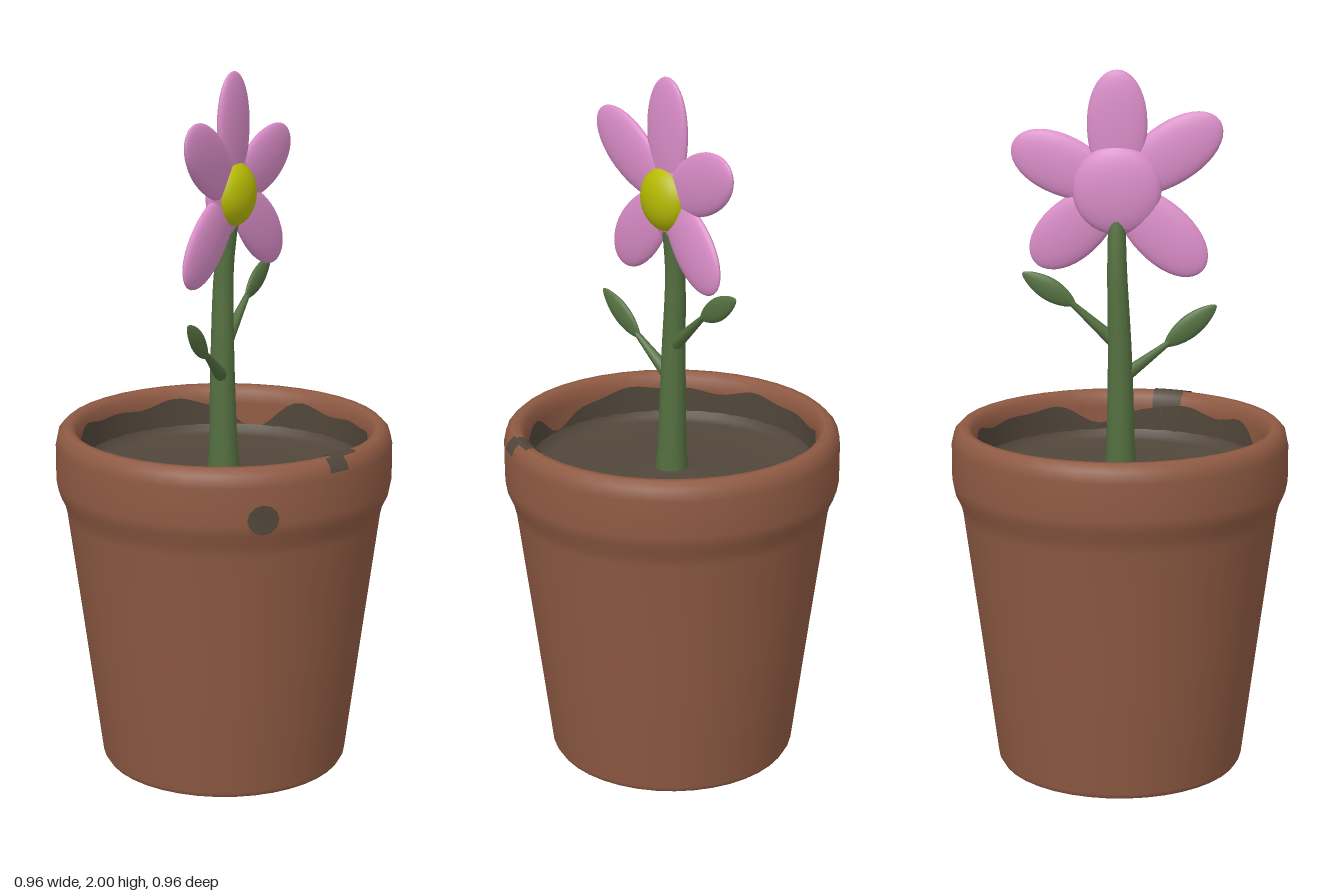
import * as THREE from 'three';

const mat = (name, color, side = THREE.FrontSide) => {
  const m = new THREE.MeshStandardMaterial({ color, side });
  m.name = name;
  return m;
};

export function createModel() {
  const clay = mat('terracotta', 0x8f5a43, THREE.DoubleSide);
  const earth = mat('soil brown', 0x51463a, THREE.DoubleSide);
  const green = mat('stem green', 0x547040);
  const pink = mat('petal pink', 0xda8dc8);
  const yellow = mat('centre yellow', 0xb6ba02);
  const grey = mat('base grey', 0xa8a8a8);

  const model = new THREE.Group();
  const add = (parent, name, geometry, material) => {
    const mesh = new THREE.Mesh(geometry, material);
    mesh.name = name;
    parent.add(mesh);
    return mesh;
  };
  const lathe = (pts, segs, start = 0, length = Math.PI * 2) =>
    new THREE.LatheGeometry(pts.map(([r, y]) => new THREE.Vector2(r, y)), segs, start, length);

  // Pot: tapered wall, rounded collar and inner wall
  add(model, 'pot', lathe([
    [0.347, 0], [0.356, 0.015], [0.405, 0.4], [0.45, 0.745], [0.459, 0.782], [0.474, 0.813],
    [0.48, 0.845], [0.48, 0.95], [0.473, 0.982], [0.455, 1], [0.437, 1],
    [0.421, 0.985], [0.415, 0.95], [0.415, 0.83]], 40), clay);
  const base = add(model, 'potBase', new THREE.CircleGeometry(0.347, 40), grey);
  base.rotation.x = Math.PI / 2;

  // Soil surface, slightly raised at the stem and at the wall
  add(model, 'soil', lathe([
    [0.411, 0.885], [0.402, 0.867], [0.38, 0.857], [0.25, 0.856], [0.12, 0.856], [0.06, 0.863], [0, 0.872]], 40), earth);

  // Dirt clinging to the inner wall; its upper edge dips in three places
  const dips = [[2.36, 0.2, 0.075], [-0.8, 0.2, 0.075], [0.68, 0.25, 0.04]];
  const dirt = new THREE.CylinderGeometry(0.41, 0.41, 1, 96, 1, true);
  const dp = dirt.attributes.position;
  for (let i = 0; i < dp.count; i++) {
    const a = Math.atan2(dp.getX(i), dp.getZ(i));
    let edge = 0.956 + 0.008 * Math.sin(7 * a) + 0.006 * Math.sin(13 * a + 1);
    dips.forEach(([at, width, depth]) => { edge -= depth * Math.exp(-(((a - at) / width) ** 2)); });
    dp.setY(i, dp.getY(i) > 0 ? edge : 0.86);
  }
  add(model, 'wallDirt', dirt, earth);

  // Dirt spilled over the front of the rim
  add(model, 'rimDirt', lathe([
    [0.461, 0.9985], [0.455, 1.003], [0.436, 1.003], [0.417, 0.987], [0.41, 0.955], [0.41, 0.92]], 5, 0.115, 0.215), earth);
  add(model, 'rimDirtDrip', lathe([
    [0.482, 0.965], [0.476, 0.984], [0.457, 1.002]], 4, 0.075, 0.135), earth);

  // Round dirt spot wrapped on the collar
  const spot = new THREE.CircleGeometry(0.042, 12);
  const sp = spot.attributes.position;
  for (let i = 0; i < sp.count; i++) {
    const a = -0.348 + sp.getX(i) / 0.46;
    sp.setXYZ(i, 0.483 * Math.sin(a), 0.86 + sp.getY(i), 0.483 * Math.cos(a));
  }
  spot.computeVertexNormals();
  add(model, 'collarSpot', spot, earth);

  // Plant: everything lies near one plane turned towards the front left
  const plant = new THREE.Group();
  plant.name = 'plant';
  plant.rotation.y = 0.494;
  model.add(plant);

  // Tube narrowed along its length
  const taperedTube = (curve, steps, sides, radius) => {
    const g = new THREE.TubeGeometry(curve, steps, 1, sides);
    const p = g.attributes.position, v = new THREE.Vector3();
    for (let i = 0; i < p.count; i++) {
      const t = Math.floor(i / (sides + 1)) / steps;
      const c = curve.getPointAt(t);
      v.fromBufferAttribute(p, i).sub(c).multiplyScalar(radius(t)).add(c);
      p.setXYZ(i, v.x, v.y, v.z);
    }
    return g;
  };
  const stemCurve = new THREE.CatmullRomCurve3([
    new THREE.Vector3(-0.002, 0.85, 0), new THREE.Vector3(0, 1.2, -0.005),
    new THREE.Vector3(0.008, 1.45, -0.004), new THREE.Vector3(0.01, 1.6, 0.016)]);
  add(plant, 'stem', taperedTube(stemCurve, 20, 14,
    t => 0.043 - 0.019 * t + 0.007 * Math.max(0, 1 - t * 10)), green);

  // Flattened egg standing on its narrow end at the origin
  const egg = (length, width, depth, taper, point = 0) => {
    const g = new THREE.SphereGeometry(1, 24, 20);
    const p = g.attributes.position;
    for (let i = 0; i < p.count; i++) {
      const y = p.getY(i), k = (1 + taper * y) * (1 - point * y * y);
      p.setXYZ(i, p.getX(i) * k * width / 2, (y + 1) * length / 2, p.getZ(i) * k * depth / 2);
    }
    g.computeVertexNormals();
    return g;
  };

  // Leaves: thin stalk and pointed blade on each side
  [['leftLeaf', [0, 1.225], [0.14, 1.35], [0.272, 1.43], 0],
   ['rightLeaf', [0, 1.13], [-0.14, 1.235], [-0.27, 1.338], 0.137]].forEach(([name, from, joint, tip, swing]) => {
    const leaf = new THREE.Group();
    leaf.name = name;
    leaf.rotation.y = swing;
    plant.add(leaf);
    const stalk = new THREE.LineCurve3(new THREE.Vector3(...from, 0), new THREE.Vector3(...joint, 0));
    add(leaf, name + 'Stalk', taperedTube(stalk, 6, 8, t => 0.022 - 0.014 * t), green);
    const dx = tip[0] - joint[0], dy = tip[1] - joint[1];
    const blade = add(leaf, name + 'Blade', egg(Math.hypot(dx, dy) + 0.02, 0.065, 0.026, -0.05, 0.3), green);
    blade.rotation.z = -Math.atan2(dx, dy);
    blade.position.set(joint[0] - dx * 0.1, joint[1] - dy * 0.1, 0);
  });

  // Flower head: five slightly tilted petals, a pink hub and a yellow dome
  const flower = new THREE.Group();
  flower.name = 'flower';
  flower.position.set(0.01, 1.667, 0.024);
  plant.add(flower);
  [[0, 0.333, 0], [-67, 0.322, 0.06], [-132, 0.318, 0.07], [133, 0.33, -0.04], [56, 0.345, 0.05]]
    .forEach(([deg, length, tilt], i) => {
      const petal = add(flower, 'petal' + (i + 1), egg(length, 0.168, 0.045, 0.1), pink);
      petal.rotation.set(tilt, 0, THREE.MathUtils.degToRad(deg), 'ZYX');
    });
  const hub = add(flower, 'flowerHub', new THREE.SphereGeometry(0.125, 28, 16), pink);
  hub.scale.z = 0.28;
  hub.position.z = -0.01;
  const dome = new THREE.SphereGeometry(0.09, 28, 12, 0, Math.PI * 2, 0, Math.PI / 2);
  dome.rotateX(Math.PI / 2);
  const centre = add(flower, 'flowerCentre', dome, yellow);
  centre.scale.z = 0.62;
  centre.position.set(-0.004, -0.006, 0.003);

  return model;
}
